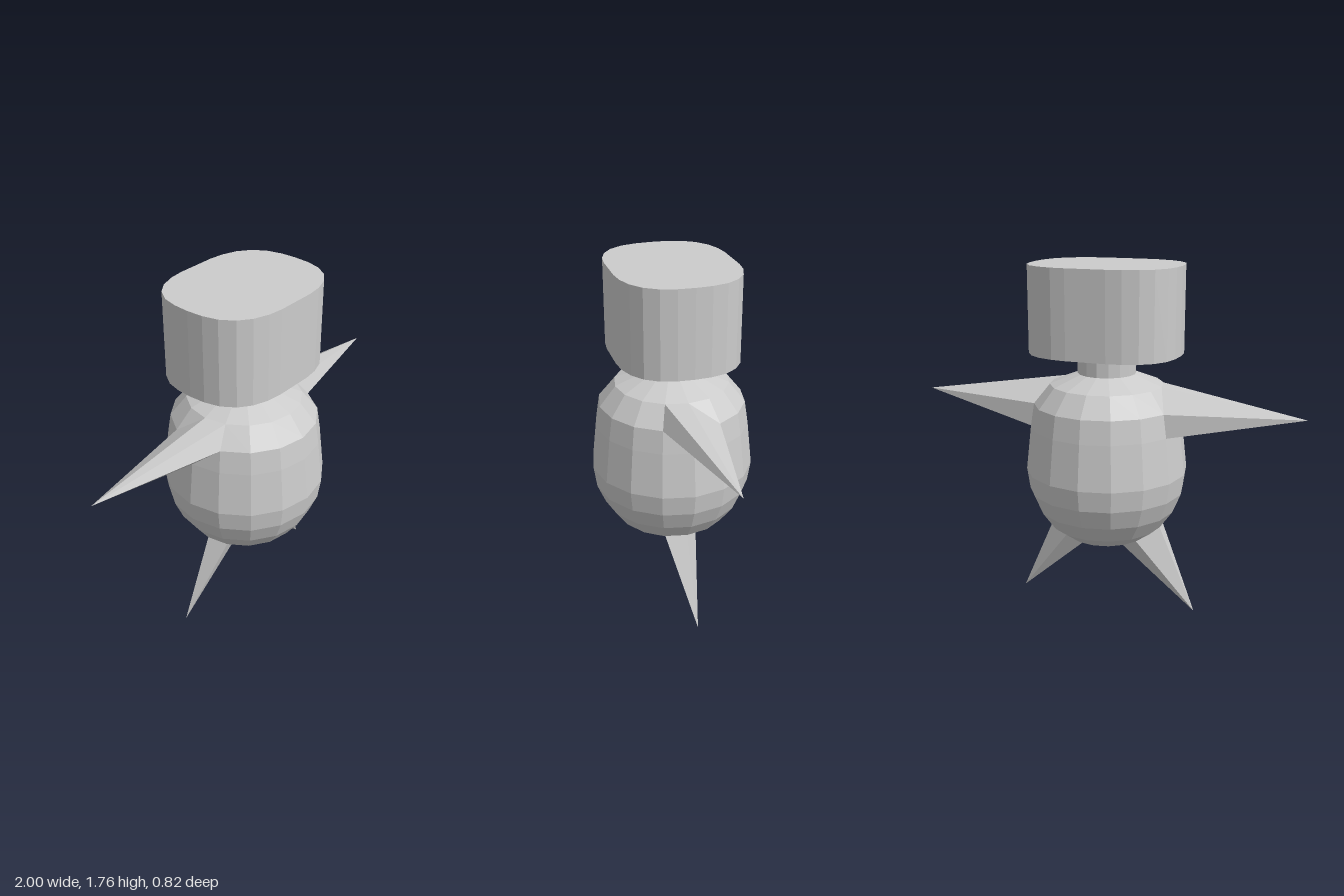
import * as THREE from 'three';

const SIDES = 16;
// body profile [radius, height], bottom to neck top
const RINGS = [
  [0, 0.326], [0.1, 0.338], [0.2, 0.378], [0.287, 0.44], [0.352, 0.53], [0.394, 0.63],
  [0.409, 0.735], [0.384, 0.96], [0.366, 1.075], [0.285, 1.175], [0.146, 1.23],
  [0.146, 1.326], [0, 1.326],
];

function material() {
  return new THREE.MeshStandardMaterial({ color: 0xcccccc, flatShading: true, side: THREE.DoubleSide });
}

function addMesh(group, name, geometry) {
  const mesh = new THREE.Mesh(geometry, material());
  mesh.name = name;
  group.add(mesh);
  return mesh;
}

// point on the body: ring index and step around from +x towards +z
function bodyPoint(ring, step) {
  const [r, y] = RINGS[ring];
  const a = (step / SIDES) * Math.PI * 2;
  return new THREE.Vector3(r * Math.cos(a), y, r * Math.sin(a));
}

// a spike pulled out of the 2 x 2 body facets around one ring point
function spikeGeometry(ring, tip, side) {
  const points = [];
  const put = (...tri) => {
    if (side < 0) tri.reverse();
    for (const p of tri) points.push(p.x * side, p.y, p.z);
  };
  for (const dy of [1, -1]) {
    for (const dz of [1, -1]) {
      const level = bodyPoint(ring, dz);
      const corner = bodyPoint(ring + dy, dz);
      const middle = bodyPoint(ring + dy, 0);
      const outward = dy * dz > 0;
      const face = (a, b) => (outward ? put(tip, b, a) : put(tip, a, b));
      if (outward) {
        // upper front and lower back keep their corner
        face(level, corner);
        face(corner, middle);
      } else {
        // the other two facets fold straight across
        face(level, middle);
      }
    }
  }
  const geometry = new THREE.BufferGeometry();
  geometry.setAttribute('position', new THREE.Float32BufferAttribute(points, 3));
  geometry.computeVertexNormals();
  return geometry;
}

// flat-fronted oval outline, one quarter mirrored four ways
function headGeometry() {
  const quarter = [[0.377, 0], [0.372, 0.08], [0.353, 0.155], [0.31, 0.22], [0.25, 0.264], [0.175, 0.29], [0.1, 0.299]];
  const half = [...quarter, ...quarter.slice(1).reverse().map(([x, z]) => [-x, z])];
  const outline = [...half, ...half.map(([x, z]) => [-x, -z])].map(([x, z]) => new THREE.Vector2(x, z));
  // close the side point between the two halves
  outline.splice(half.length, 0, new THREE.Vector2(-0.377, 0));
  const clean = outline.filter((p, i) => p.distanceTo(outline[(i + 1) % outline.length]) > 1e-6);
  const geometry = new THREE.ExtrudeGeometry(new THREE.Shape(clean), { depth: 0.43, bevelEnabled: false });
  geometry.rotateX(-Math.PI / 2);
  geometry.translate(0, 1.335, 0);
  return geometry;
}

export function createModel() {
  const group = new THREE.Group();
  group.name = 'figure';

  // faceted egg body with its neck
  addMesh(group, 'body', new THREE.LatheGeometry(RINGS.map(([r, y]) => new THREE.Vector2(r, y)), SIDES));

  addMesh(group, 'head', headGeometry());

  // pointed arms and legs on both sides
  for (const [side, label] of [[1, 'left'], [-1, 'right']]) {
    addMesh(group, label + 'Arm', spikeGeometry(8, new THREE.Vector3(1, 1.075, -0.01), side));
    addMesh(group, label + 'Leg', spikeGeometry(2, new THREE.Vector3(0.478, 0, 0), side));
  }
  return group;
}
